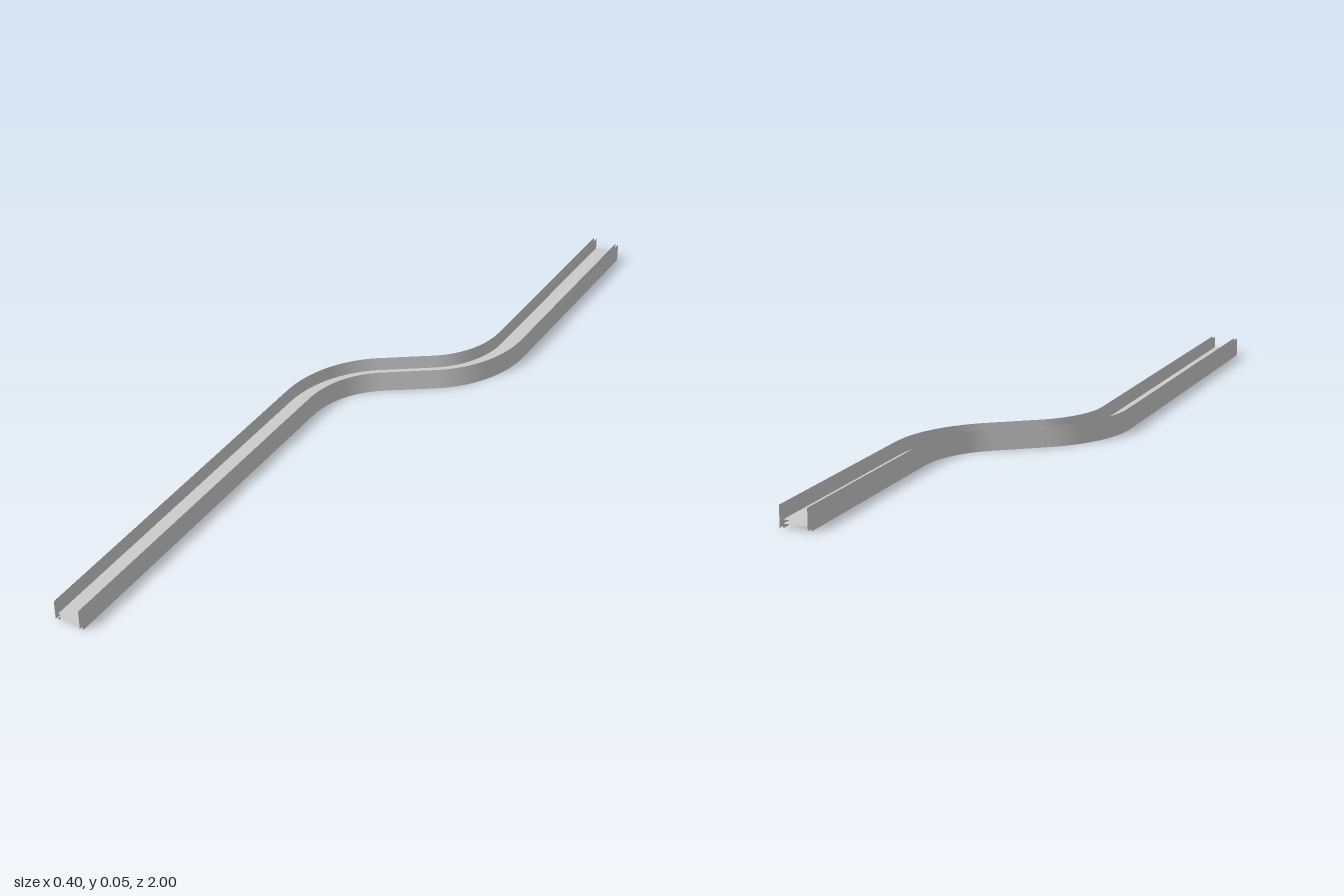
import * as THREE from 'three';

const TURN = 0.95, R = 0.26;          // bend angle and radius
const SIDE = 0.164, MID_Z = -0.187;   // sideways shift of the straights, centre of the bend
const INNER = 0.0285, OUTER = 0.037;  // wall faces, measured from the centre line
const HEIGHT = 0.05, FLOOR_LOW = 0.01, FLOOR_HIGH = 0.019;

// Centre line from the front end to the back end: straight, arc, slanted run, arc, straight
function centreLine() {
  const rise = R * (1 - Math.cos(TURN)), run = R * Math.sin(TURN);
  const slant = (SIDE - rise) / Math.sin(TURN);        // half of the slanted run
  const half = run + slant * Math.cos(TURN);           // half of the bend along z
  const first = [{ x: -SIDE, z: 1, h: 0 }];
  const steps = 20;
  for (let i = 0; i <= steps; i++) {
    const h = TURN * i / steps;
    first.push({ x: -SIDE + R * (1 - Math.cos(h)), z: MID_Z + half - R * Math.sin(h), h });
  }
  // the second half is the first turned half way round, ending at the back
  const second = first.map(p => ({ x: -p.x, z: 2 * MID_Z - p.z, h: p.h })).reverse();
  second[second.length - 1].z = -1;
  return first.concat(second);
}

// Sheet swept along the path between two section points [offset, height]
function sheet(path, a, b) {
  const pos = [], index = [];
  path.forEach((p, i) => {
    for (const [o, y] of [a, b]) pos.push(p.x + o * Math.cos(p.h), y, p.z + o * Math.sin(p.h));
    if (i > 0) {
      const k = 2 * (i - 1);
      index.push(k, k + 2, k + 1, k + 2, k + 3, k + 1);
    }
  });
  const g = new THREE.BufferGeometry();
  g.setAttribute('position', new THREE.Float32BufferAttribute(pos, 3));
  g.setIndex(index);
  g.computeVertexNormals();
  return g;
}

export function createModel() {
  const model = new THREE.Group();
  model.name = 'curvedChannel';
  const material = new THREE.MeshStandardMaterial({ color: 0xcccccc, side: THREE.DoubleSide });
  const path = centreLine();
  const add = (name, a, b) => {
    const mesh = new THREE.Mesh(sheet(path, a, b), material);
    mesh.name = name;
    model.add(mesh);
  };

  // Side walls: an outer and an inner skin, open along the rims
  add('rightWallOuter', [OUTER, 0], [OUTER, HEIGHT]);
  add('rightWallInner', [INNER, HEIGHT], [INNER, 0]);
  add('leftWallOuter', [-OUTER, HEIGHT], [-OUTER, 0]);
  add('leftWallInner', [-INNER, 0], [-INNER, HEIGHT]);

  // Floor between the walls, raised above the ground
  add('floorTop', [INNER, FLOOR_HIGH], [-INNER, FLOOR_HIGH]);
  add('floorUnderside', [-INNER, FLOOR_LOW], [INNER, FLOOR_LOW]);
  return model;
}
